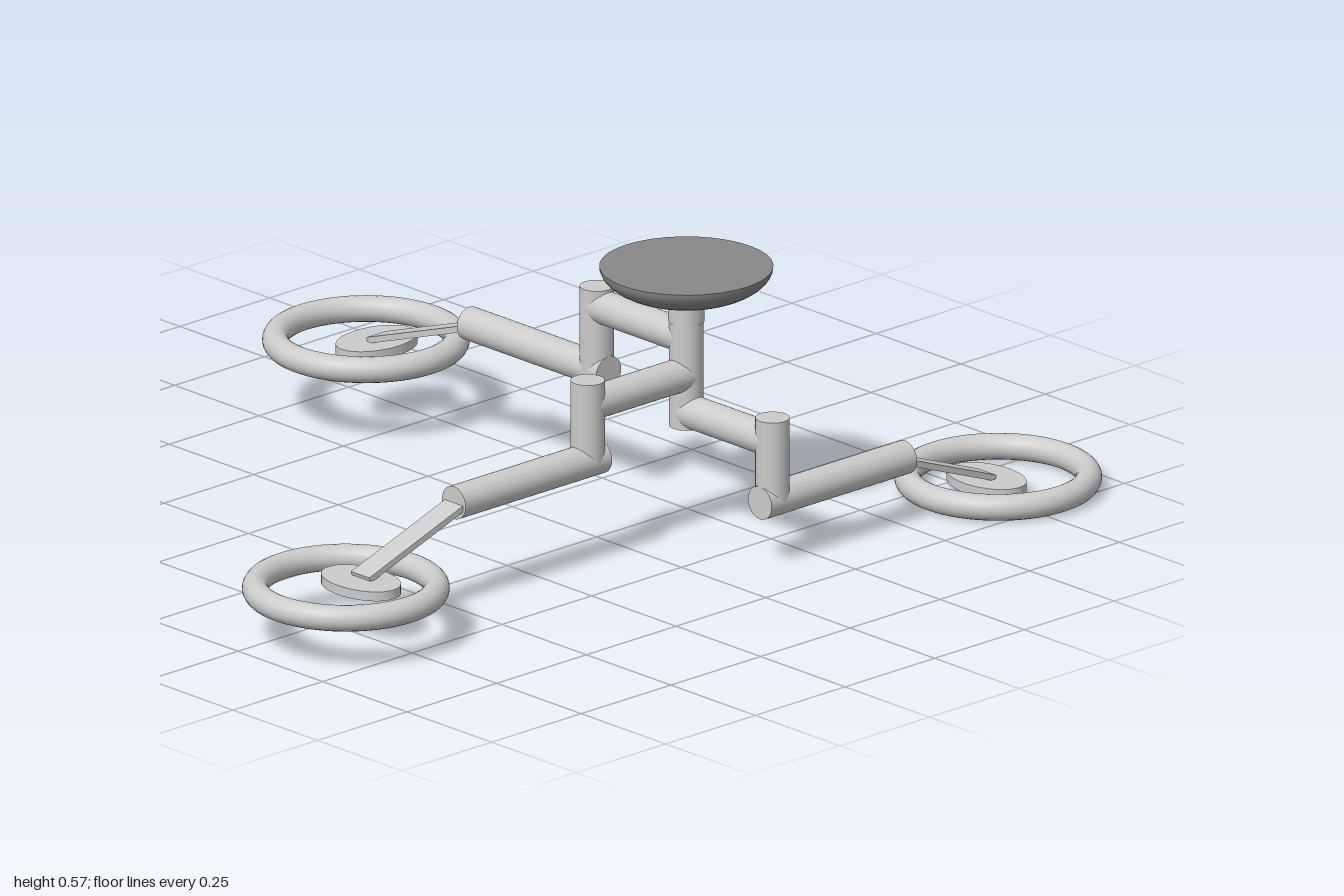
import * as THREE from 'three';

const grey = new THREE.MeshStandardMaterial({ color: 0xcccccc });
const darkGrey = new THREE.MeshStandardMaterial({ color: 0x888888 });
const PIPE = 0.035;
const HUB_X = 0.345, HUB_Z = -0.16;

function add(parent, name, geometry, material = grey) {
  const mesh = new THREE.Mesh(geometry, material);
  mesh.name = name;
  parent.add(mesh);
  return mesh;
}

// Capped round pipe between two points
function pipe(parent, name, from, to, radius = PIPE) {
  const a = new THREE.Vector3(...from), b = new THREE.Vector3(...to);
  const dir = b.clone().sub(a);
  const mesh = add(parent, name, new THREE.CylinderGeometry(radius, radius, dir.length(), 32));
  mesh.position.copy(a).add(b).multiplyScalar(0.5);
  mesh.quaternion.setFromUnitVectors(new THREE.Vector3(0, 1, 0), dir.normalize());
  return mesh;
}

// Lower leg built along local +z from the elbow: riser, forearm, flat strut, foot plate, ring
function makeLeg({ name, elbow, turn, topY, armY, forearmEnd, plateZ, ringZ, ringY }) {
  const leg = new THREE.Group();
  leg.name = name;
  leg.position.set(elbow[0], 0, elbow[1]);
  leg.rotation.y = turn;

  pipe(leg, 'elbowRiser', [0, armY, 0], [0, topY, 0]);
  pipe(leg, 'forearm', [0, armY, -PIPE], [0, armY, forearmEnd]);

  // Strut slopes down to rest on the foot plate
  const a = new THREE.Vector3(0, armY, forearmEnd - 0.02);
  const b = new THREE.Vector3(0, ringY + 0.012, plateZ);
  const strut = add(leg, 'strut', new THREE.BoxGeometry(0.054, 0.013, a.distanceTo(b)));
  strut.position.copy(a).add(b).multiplyScalar(0.5);
  strut.rotation.x = Math.atan2(a.y - b.y, b.z - a.z);

  const plate = add(leg, 'footPlate',
    new THREE.CylinderGeometry(1, 1, 0.02, 40).scale(0.097, 1, 0.064));
  plate.position.set(0, ringY, plateZ);

  const ring = add(leg, 'footRing',
    new THREE.TorusGeometry(0.184, 0.027, 20, 64).rotateX(Math.PI / 2));
  ring.position.set(0, ringY, ringZ);
  return leg;
}

export function createModel() {
  const model = new THREE.Group();
  model.name = 'threeLeggedStand';

  // Central post with a slightly wider neck under the dish
  pipe(model, 'post', [HUB_X, 0.23, HUB_Z], [HUB_X, 0.46, HUB_Z]);
  pipe(model, 'neck', [HUB_X, 0.455, HUB_Z], [HUB_X, 0.53, HUB_Z], 0.037);

  // Shallow dish: half-ellipse profile closed by a flat top
  const profile = [];
  for (let i = 0; i <= 14; i++) {
    const t = (i / 14) * Math.PI / 2;
    profile.push(new THREE.Vector2(0.177 * Math.sin(t), -0.073 * Math.cos(t)));
  }
  const dish = new THREE.Group();
  dish.name = 'dish';
  dish.position.set(HUB_X, 0.573, HUB_Z);
  add(dish, 'dishBowl', new THREE.LatheGeometry(profile, 36), darkGrey);
  add(dish, 'dishTop', new THREE.CircleGeometry(0.177, 36).rotateX(-Math.PI / 2), darkGrey);
  model.add(dish);

  // Upper arms step down around the post
  pipe(model, 'rightArm', [HUB_X, 0.42, HUB_Z], [0.08, 0.42, HUB_Z]);
  pipe(model, 'frontArm', [HUB_X, 0.342, HUB_Z], [HUB_X, 0.342, 0.115]);
  pipe(model, 'leftArm', [HUB_X, 0.263, HUB_Z], [0.6, 0.263, HUB_Z]);

  const legs = [
    { name: 'rightLeg', elbow: [0.08, HUB_Z], turn: -Math.PI / 2, topY: 0.461, armY: 0.282,
      forearmEnd: 0.377, plateZ: 0.652, ringZ: 0.683, ringY: 0.167 },
    { name: 'frontLeg', elbow: [HUB_X, 0.115], turn: 0, topY: 0.395, armY: 0.222,
      forearmEnd: 0.373, plateZ: 0.632, ringZ: 0.674, ringY: 0.113 },
    { name: 'backLeg', elbow: [0.6, HUB_Z], turn: Math.PI, topY: 0.313, armY: 0.137,
      forearmEnd: 0.37, plateZ: 0.597, ringZ: 0.629, ringY: 0.03 },
  ];
  for (const spec of legs) model.add(makeLeg(spec));
  return model;
}
